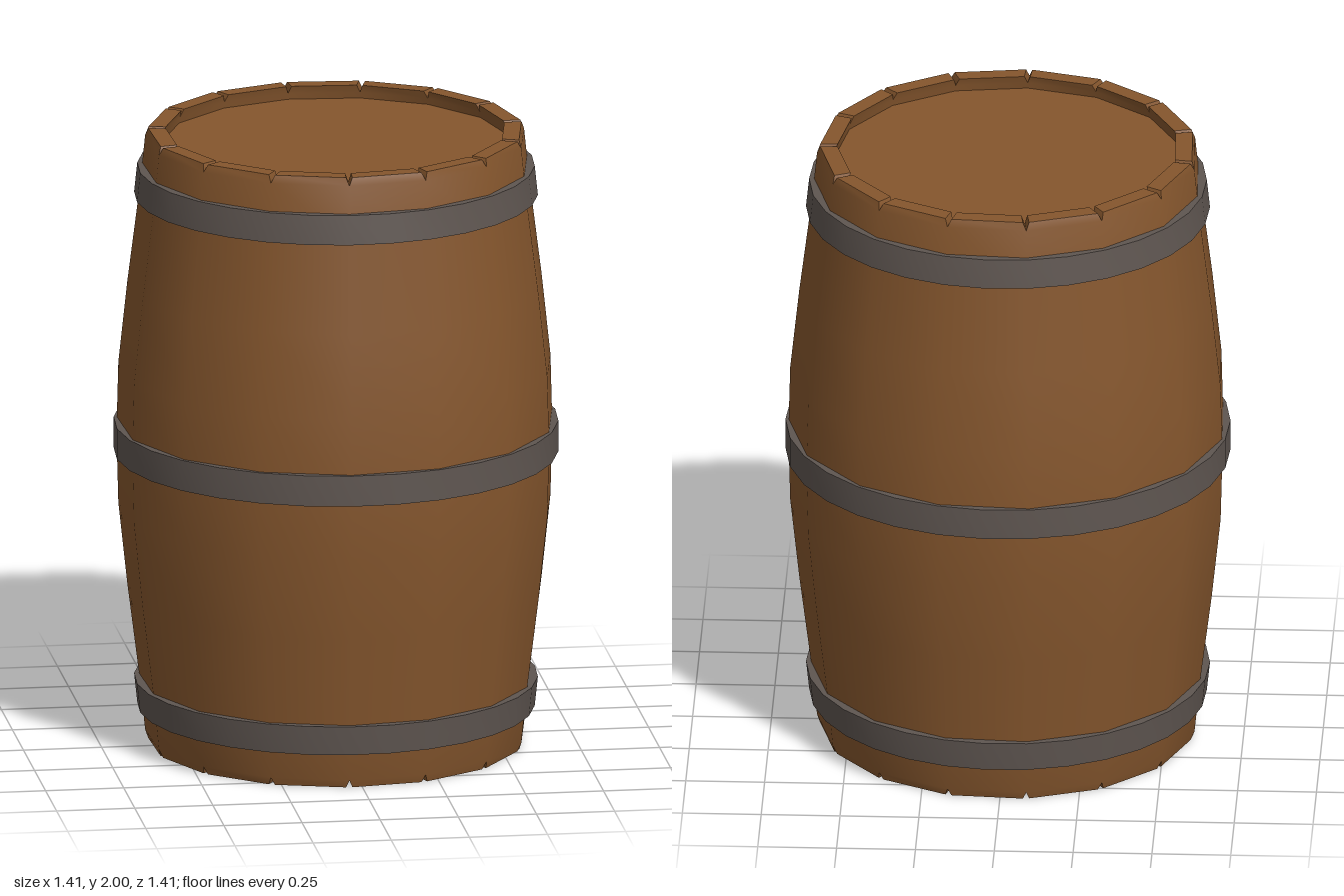
import * as THREE from 'three';
import { mergeGeometries, toCreasedNormals } from 'three/addons/utils/BufferGeometryUtils.js';

const STAVES = 15;
const STEP = (Math.PI * 2) / STAVES;
const SEAM = THREE.MathUtils.degToRad(-2); // angle of the first seam
const THICKNESS = 0.055;

// Lower half of the stave outline: height, radius, angular inset that notches the seam
const half = [
  [0, 0.595, 0.017], [0.025, 0.605, 0], [0.2, 0.623, 0],
  [0.5, 0.661, 0], [0.77, 0.69, 0],
];
const outline = [...half, [1, 0.696, 0], ...half.map(([y, r, g]) => [2 - y, r, g]).reverse()];

// One stave: a four-cornered section lofted from bottom to top
function staveGeometry(index) {
  const rings = outline.map(([y, r, inset]) => {
    const a0 = SEAM + index * STEP + inset;
    const a1 = SEAM + (index + 1) * STEP - inset;
    const at = (a, radius) => [Math.cos(a) * radius, y, Math.sin(a) * radius];
    return [at(a0, r), at(a1, r), at(a1, r - THICKNESS), at(a0, r - THICKNESS)];
  });
  const points = [];
  const quad = (a, b, c, d) => points.push(...a, ...b, ...c, ...a, ...c, ...d);
  for (let k = 0; k < rings.length - 1; k++) {
    const lo = rings[k], up = rings[k + 1];
    for (let i = 0; i < 4; i++) {
      const j = (i + 1) % 4;
      quad(lo[i], up[i], up[j], lo[j]);
    }
  }
  const bottom = rings[0], top = rings[rings.length - 1];
  quad(bottom[0], bottom[1], bottom[2], bottom[3]);
  quad(top[0], top[3], top[2], top[1]);
  const geometry = new THREE.BufferGeometry();
  geometry.setAttribute('position', new THREE.Float32BufferAttribute(points, 3));
  return geometry;
}

// Metal band: a closed rectangular section turned around the barrel
function hoopGeometry(y0, r0, y1, r1) {
  const depth = 0.045;
  const section = [
    [r0 - depth, y0], [r0, y0], [r1, y1], [r1 - depth, y1], [r0 - depth, y0],
  ].map(([r, y]) => new THREE.Vector2(r, y));
  const lathe = new THREE.LatheGeometry(section, STAVES * 2, THREE.MathUtils.degToRad(8));
  return toCreasedNormals(lathe, 0.6);
}

export function createModel() {
  const model = new THREE.Group();
  model.name = 'barrel';
  const wood = new THREE.MeshStandardMaterial({ color: 0x85562d });
  const metal = new THREE.MeshStandardMaterial({ color: 0x5f5651 });
  const add = (name, geometry, material) => {
    const mesh = new THREE.Mesh(geometry, material);
    mesh.name = name;
    model.add(mesh);
    return mesh;
  };

  // Staves, smoothed across the seams
  const staves = Array.from({ length: STAVES }, (_, i) => staveGeometry(i));
  add('staves', toCreasedNormals(mergeGeometries(staves), 0.5), wood);

  // Recessed heads at both ends
  for (const [name, y] of [['bottomHead', 0.06], ['topHead', 1.94]]) {
    const head = add(name, new THREE.CylinderGeometry(0.56, 0.56, 0.03, STAVES), wood);
    head.position.y = y;
    head.rotation.y = Math.PI / 2 - SEAM;
  }

  // Three hoops, the end ones following the taper
  add('bottomHoop', hoopGeometry(0.115, 0.63, 0.21, 0.64), metal);
  add('middleHoop', hoopGeometry(0.95, 0.705, 1.05, 0.705), metal);
  add('topHoop', hoopGeometry(1.79, 0.64, 1.885, 0.63), metal);

  return model;
}
